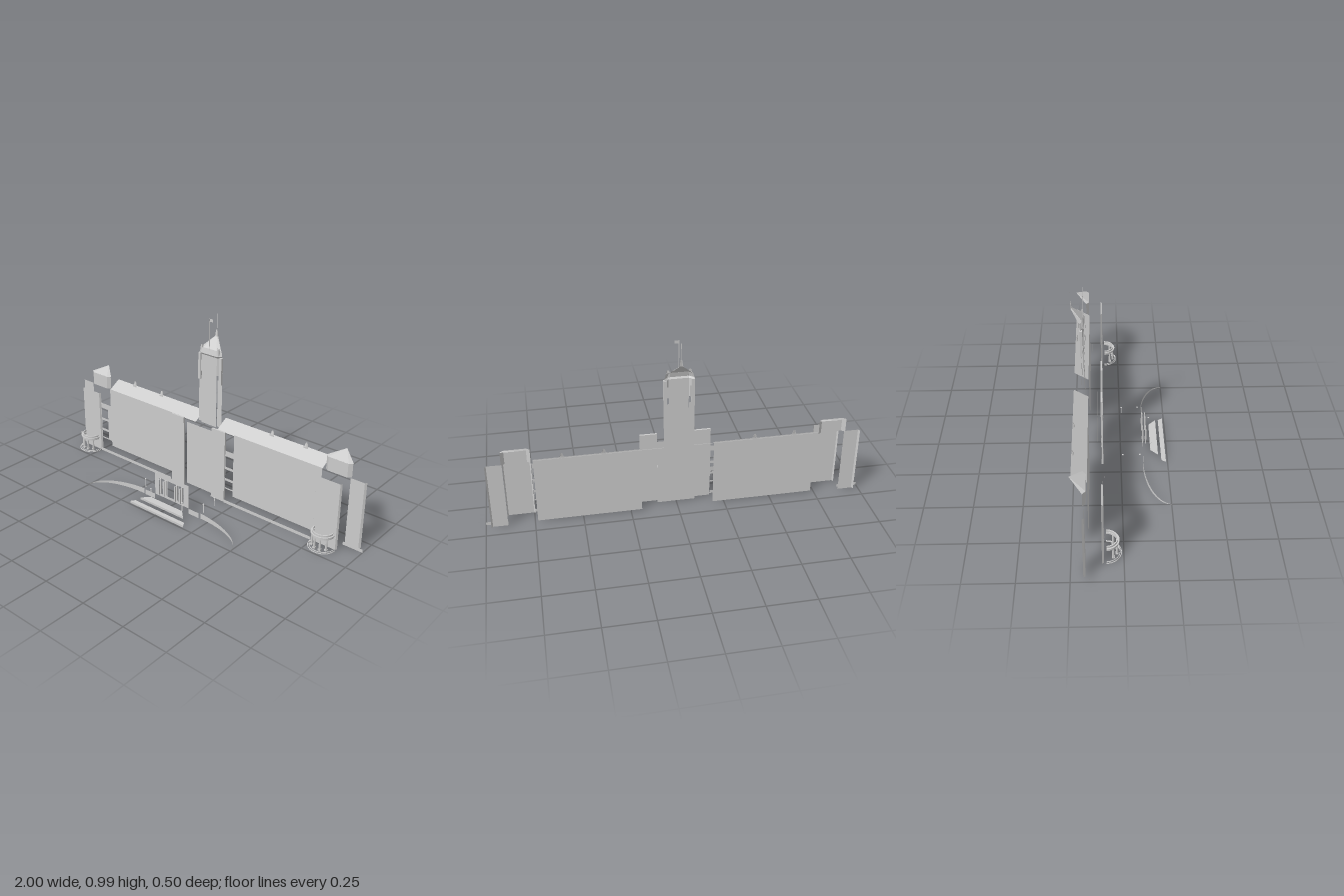
import * as THREE from 'three';

const grey = new THREE.MeshStandardMaterial({ color: 0xcccccc, side: THREE.DoubleSide, flatShading: true });
const smooth = new THREE.MeshStandardMaterial({ color: 0xcccccc, side: THREE.DoubleSide });

export function createModel() {
  const root = new THREE.Group();
  const add = (name, geo, mat = grey) => {
    const m = new THREE.Mesh(geo, mat);
    m.name = name;
    root.add(m);
    return m;
  };
  // upright sheet facing the front
  const sheet = (name, x0, x1, y0, y1, z) =>
    add(name, new THREE.PlaneGeometry(Math.abs(x1 - x0), y1 - y0).translate((x0 + x1) / 2, (y0 + y1) / 2, z));
  const box = (name, x0, x1, y0, y1, z0, z1) =>
    add(name, new THREE.BoxGeometry(Math.abs(x1 - x0), y1 - y0, z1 - z0)
      .translate((x0 + x1) / 2, (y0 + y1) / 2, (z0 + z1) / 2));
  // upright sheet with rectangular openings [x0, x1, y0, y1]
  const pierced = (name, x0, x1, y0, y1, z, openings) => {
    const rect = (p, a, b, c, d) => p.moveTo(a, c).lineTo(b, c).lineTo(b, d).lineTo(a, d).closePath();
    const s = rect(new THREE.Shape(), x0, x1, y0, y1);
    for (const o of openings) s.holes.push(rect(new THREE.Path(), ...o));
    return add(name, new THREE.ShapeGeometry(s).translate(0, 0, z));
  };
  // strip of quads between two rows of points
  const loft = (name, a, b, mat = grey) => {
    const pos = [], idx = [];
    a.forEach((p, i) => pos.push(...p, ...b[i]));
    for (let i = 0; i < a.length - 1; i++) idx.push(2 * i, 2 * i + 2, 2 * i + 1, 2 * i + 1, 2 * i + 2, 2 * i + 3);
    const g = new THREE.BufferGeometry();
    g.setAttribute('position', new THREE.Float32BufferAttribute(pos, 3));
    g.setIndex(idx);
    g.computeVertexNormals();
    return add(name, g, mat);
  };
  // front-half plan with chamfered corners, used on towers
  const plan = (cx, w, c, y, zf, zb) => [[cx - w, y, zb], [cx - w + c, y, zf], [cx + w - c, y, zf], [cx + w, y, zb]];

  for (const s of [-1, 1]) {
    // wing wall, roof and pierced window front
    sheet('wingWall', s * 0.19, s * 0.735, 0, 0.375, -0.168);
    loft('wingRoof',
      [[s * 0.075, 0.415, -0.242], [s * 0.735, 0.415, -0.242]],
      [[s * 0.075, 0.37, -0.168], [s * 0.735, 0.37, -0.168]]);
    const holes = [];
    for (let i = 0; i < 7; i++) {
      const c = s * (0.214 + i * 0.0836);
      for (const [a, b] of [[0.09, 0.132], [0.147, 0.2], [0.215, 0.278]]) holes.push([c - 0.026, c + 0.026, a, b]);
    }
    const e = [s * 0.186, s * 0.744].sort((a, b) => a - b);
    pierced('windowFront', e[0], e[1], 0.082, 0.31, -0.1, holes);
    sheet('wingPlinth', s * 0.19, s * 0.745, 0, 0.018, -0.09);

    // roof vents
    for (const x of [0.385, 0.593]) {
      sheet('roofVent', s * x - 0.014, s * x + 0.014, 0.405, 0.418, -0.232);
      loft('roofVentCap', plan(s * x, 0.011, 0.004, 0.418, -0.23, -0.236), plan(s * x, 0.004, 0.002, 0.442, -0.235, -0.24));
    }

    // end walls and corner towers
    const cx = s * 0.818;
    loft('endWall',
      [[s * 0.888, 0, -0.18], [s * 0.965, 0, -0.18], [s * 0.973, 0, -0.19]],
      [[s * 0.888, 0.37, -0.18], [s * 0.965, 0.37, -0.18], [s * 0.973, 0.37, -0.19]]);
    sheet('endPlinth', s * 0.888, s * 1, 0, 0.018, -0.16);
    loft('cornerTower', plan(cx, 0.072, 0.006, 0, -0.094, -0.104), plan(cx, 0.072, 0.006, 0.37, -0.094, -0.104));
    loft('cornerTowerTop', plan(cx, 0.073, 0.018, 0.37, -0.172, -0.187), plan(cx, 0.073, 0.018, 0.447, -0.172, -0.187));
    const tip = [cx, 0.482, -0.247];
    loft('cornerTowerRoof', plan(cx, 0.076, 0.019, 0.446, -0.171, -0.187), [tip, tip, tip, tip]);

    // half-round corner porch
    const ring = (name, r0, r1, y0, y1) => {
      const pts = [[r0, y0], [r1, y0], [r1, y1], [r0, y1], [r0, y0]].map(p => new THREE.Vector2(...p));
      add(name, new THREE.LatheGeometry(pts, 20, -Math.PI / 2, Math.PI)).position.set(cx, 0, -0.083);
    };
    ring('porchStep', 0.071, 0.074, 0, 0.004);
    ring('porchUpperStep', 0.064, 0.067, 0.004, 0.008);
    ring('porchBeam', 0.051, 0.059, 0.07, 0.08);
    ring('porchCornice', 0.055, 0.063, 0.08, 0.086);
    ring('porchParapet', 0.05, 0.056, 0.086, 0.096);
    for (let i = 0; i < 4; i++) {
      const a = (-0.9 + i * 0.6);
      const x = cx + 0.053 * Math.sin(a), z = -0.083 + 0.053 * Math.cos(a);
      add('porchColumn', new THREE.CylinderGeometry(0.005, 0.006, 0.055, 10).translate(x, 0.0425, z), smooth);
      box('porchColumnBase', x - 0.007, x + 0.007, 0.008, 0.016, z - 0.007, z + 0.007);
    }
    for (const d of [-0.055, 0.055]) sheet('porchPilaster', cx + d - 0.006, cx + d + 0.006, 0.018, 0.07, -0.082);

    // piers beside the centre
    box('centrePier', s * 0.097, s * 0.186, 0, 0.415, -0.104, -0.094);

    // curved ramp wall
    const top = [], base = [];
    for (let i = 0; i <= 20; i++) {
      const t = i / 20 * Math.PI / 2;
      const x = s * (0.2 + 0.3 * Math.cos(t)), z = 0.25 - 0.133 * Math.sin(t);
      top.push([x, 0.002 + 0.03 * i / 20, z]);
      base.push([x, 0, z]);
    }
    loft('rampWall', top, base, smooth);
    sheet('rampEnd', s * 0.12, s * 0.19, 0, 0.03, 0.12);

    // lamps
    for (const [x, z] of [[0.205, 0.01], [0.205, 0.1], [0.11, 0.16]]) {
      sheet('lampPost', s * x - 0.003, s * x + 0.003, 0.03, 0.08, z);
      add('lamp', new THREE.SphereGeometry(0.005, 10, 6).scale(1, 0.7, 1).translate(s * x, 0.081, z), smooth);
    }

    // clock tower buttresses and balconies
    sheet('towerSide', s * 0.048, s * 0.078, 0.37, 0.64, -0.2);
    box('towerButtress', s * 0.062, s * 0.078, 0.62, 0.77, -0.203, -0.19);
    sheet('towerBalcony', s * 0.05, s * 0.072, 0.68, 0.74, -0.213);
    sheet('towerFrontBalcony', s * 0.02, s * 0.045, 0.68, 0.74, -0.174);
    sheet('towerPilaster', s * 0.018, s * 0.03, 0.38, 0.68, -0.184);
    loft('towerTurret', plan(s * 0.055, 0.009, 0.003, 0.78, -0.186, -0.196), plan(s * 0.055, 0.006, 0.002, 0.82, -0.188, -0.195));
  }

  // centre wall and entrance portico
  sheet('centreWall', -0.1, 0.1, 0, 0.38, -0.123);
  pierced('portico', -0.118, 0.118, 0.03, 0.165, 0.118, [
    [-0.085, -0.05, 0.045, 0.14], [-0.03, 0.03, 0.045, 0.14], [0.05, 0.085, 0.045, 0.14]]);
  for (const x of [-0.075, -0.04, 0.04, 0.075])
    for (const z of [0.12, 0.136])
      box('porticoColumn', x - 0.004, x + 0.004, 0.05, 0.14, z - 0.003, z + 0.003);

  // entrance steps
  loft('upperStep', [[-0.11, 0.03, 0.16], [0.11, 0.03, 0.16]], [[-0.15, 0.03, 0.2], [0.15, 0.03, 0.2]]);
  loft('lowerStep', [[-0.173, 0.012, 0.217], [0.173, 0.012, 0.217]], [[-0.188, 0.012, 0.241], [0.188, 0.012, 0.241]]);
  sheet('upperRiser', -0.15, 0.15, 0.018, 0.03, 0.2);
  sheet('lowerRiser', -0.188, 0.188, 0, 0.012, 0.241);

  // clock tower shaft, belfry, cornice, roof and spire
  sheet('towerShaft', -0.05, 0.05, 0.37, 0.69, -0.188);
  loft('belfry', plan(0, 0.07, 0.02, 0.67, -0.187, -0.203), plan(0, 0.07, 0.02, 0.77, -0.187, -0.203));
  for (const x of [-0.03, 0, 0.03]) sheet('belfryMullion', x - 0.006, x + 0.006, 0.64, 0.765, -0.183);
  loft('towerCorniceUnder', plan(0, 0.07, 0.02, 0.768, -0.187, -0.203), plan(0, 0.075, 0.022, 0.778, -0.18, -0.2));
  loft('towerCornice', plan(0, 0.075, 0.022, 0.778, -0.18, -0.2), plan(0, 0.066, 0.02, 0.808, -0.187, -0.204));
  loft('towerRoof', plan(0, 0.064, 0.02, 0.805, -0.187, -0.204), plan(0, 0.01, 0.003, 0.862, -0.24, -0.246));
  loft('towerFinial', plan(0, 0.01, 0.003, 0.862, -0.24, -0.246), plan(0, 0.004, 0.001, 0.9, -0.245, -0.247));
  sheet('spire', -0.0015, 0.0015, 0.895, 0.985, -0.247);
  box('flagPole', -0.0015, 0.0015, 0.8, 0.976, -0.187, -0.184);
  sheet('flag', 0.001, 0.022, 0.958, 0.974, -0.185);

  return root;
}
